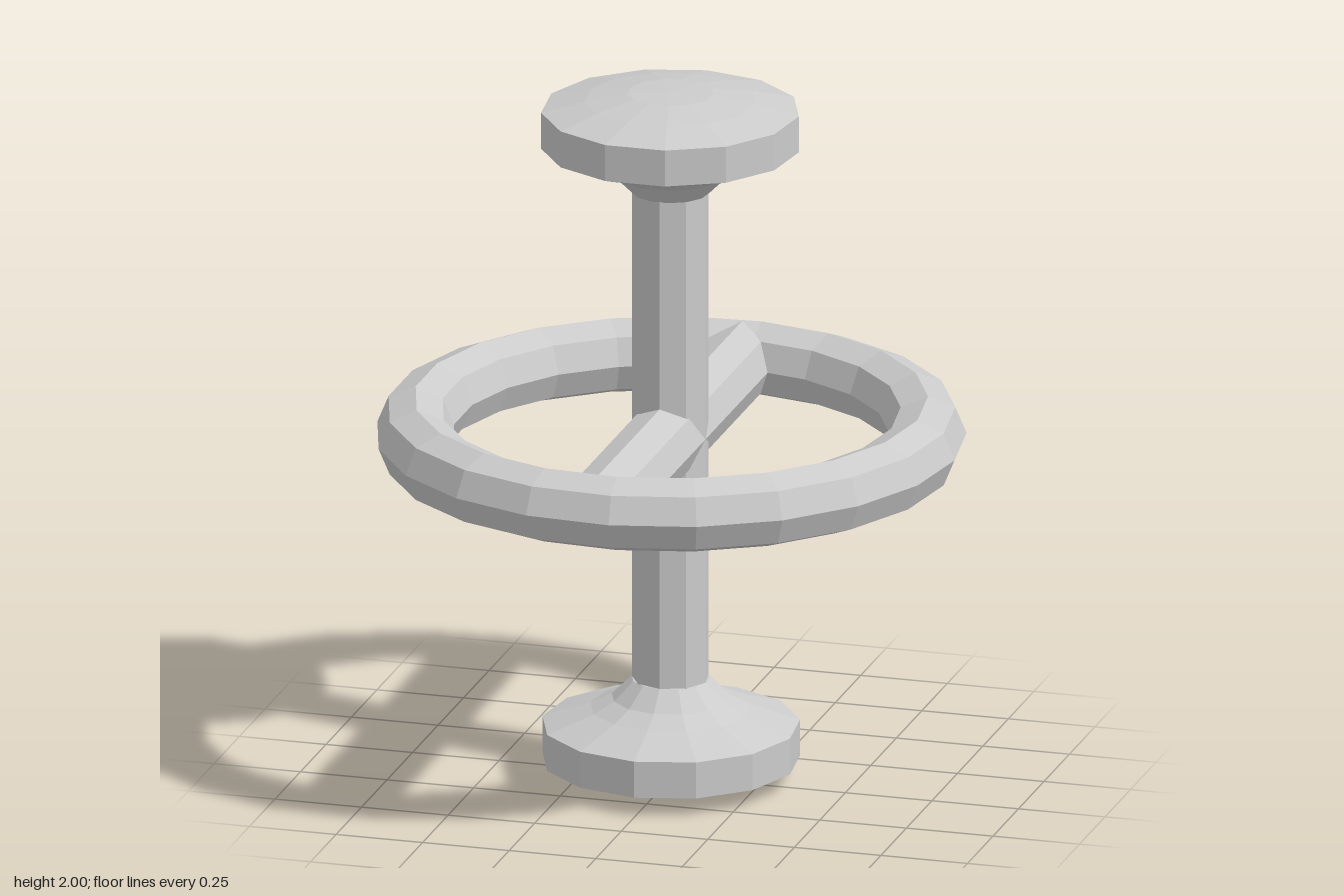
import * as THREE from 'three';

export function createModel() {
  const model = new THREE.Group();
  const material = new THREE.MeshStandardMaterial({ color: 0xcccccc, flatShading: true });

  function add(name, geometry, y) {
    const mesh = new THREE.Mesh(geometry, material);
    mesh.name = name;
    mesh.position.y = y;
    model.add(mesh);
    return mesh;
  }

  // Upright shaft running between the two knobs
  add('shaft', new THREE.CylinderGeometry(0.108, 0.108, 1.5, 9, 1, true), 1);

  // Horizontal wheel rim around the middle of the shaft
  const rim = new THREE.TorusGeometry(0.713, 0.107, 8, 21);
  rim.rotateX(Math.PI / 2);
  add('rim', rim, 1);

  // Crossbar joining the rim to the shaft, front to back
  const bar = new THREE.CylinderGeometry(0.106, 0.106, 1.41, 8);
  bar.rotateX(Math.PI / 2);
  add('crossbar', bar, 1);

  // Flared knob profile, from the outer end towards the shaft
  const profile = [
    [0, 0], [0.12, 0.003], [0.24, 0.023], [0.36, 0.053],
    [0.36, 0.158], [0.225, 0.205], [0.165, 0.235], [0.109, 0.29], [0, 0.29],
  ].map(([r, y]) => new THREE.Vector2(r, y));
  const knob = new THREE.LatheGeometry(profile, 13);
  add('lowerKnob', knob, 0);
  add('upperKnob', knob, 2).rotation.x = Math.PI;

  // The odd-sided rim reaches further on one side, so recentre it
  model.children.forEach((part) => { part.position.x = -0.0045; });
  return model;
}
